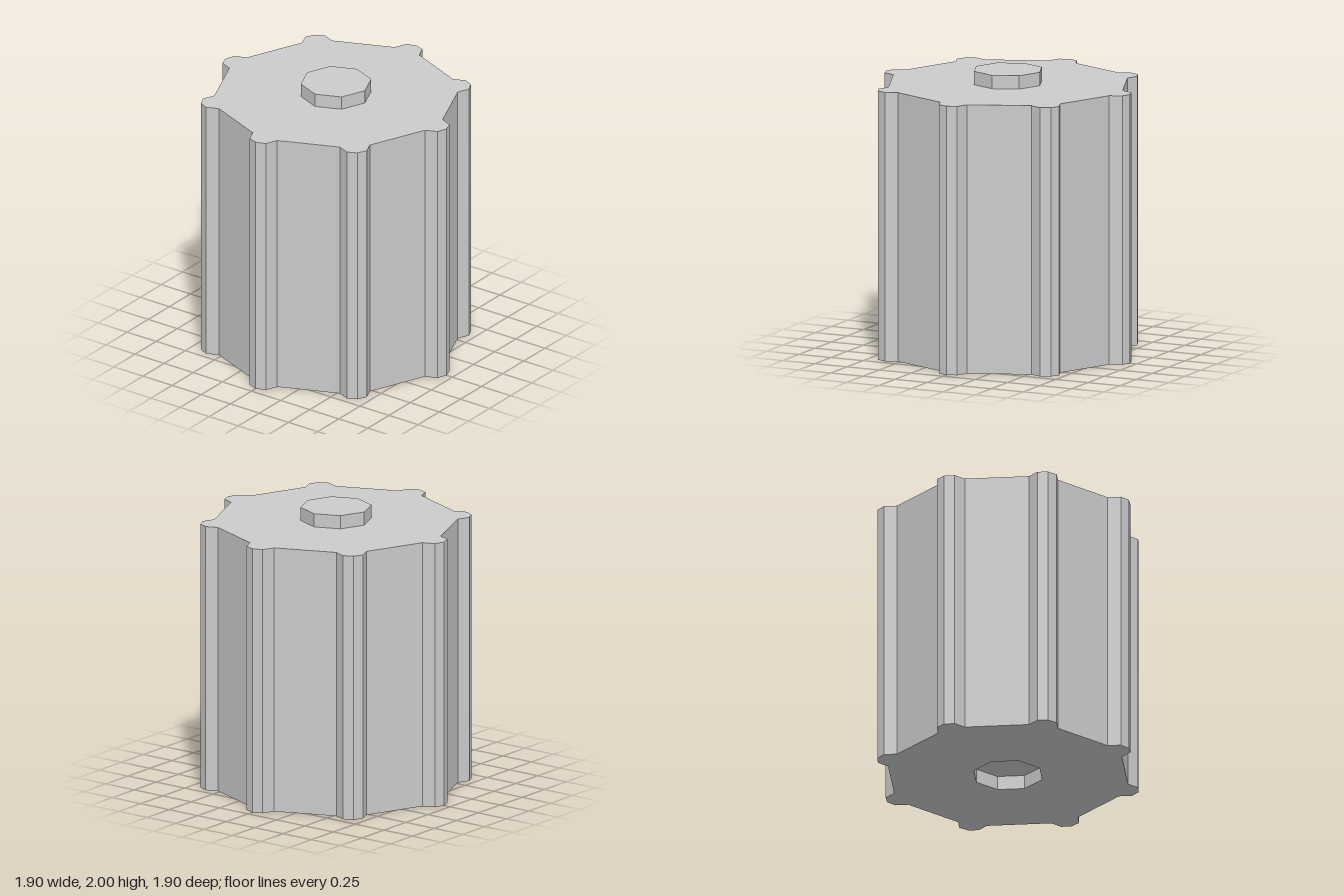
import * as THREE from 'three';
import { mergeGeometries } from 'three/addons/utils/BufferGeometryUtils.js';

const TOP = 1.905, STUD_TOP = 2, RECESS = 0.1, STUD_R = 0.248;

// Repeats a few [radial, sideways] points eight times around the axis
function ring(points) {
  const out = [];
  for (let i = 0; i < 8; i++) {
    const c = Math.cos(i * Math.PI / 4), s = Math.sin(i * Math.PI / 4);
    for (const [r, t] of points) out.push(new THREE.Vector2(r * c - t * s, r * s + t * c));
  }
  return out;
}

// Vertical wall along a closed ring; reversing the ring makes it face inward
function wall(pts, y0, y1) {
  const pos = [];
  pts.forEach((a, i) => {
    const b = pts[(i + 1) % pts.length];
    pos.push(b.x, y0, b.y, a.x, y0, a.y, a.x, y1, a.y);
    pos.push(b.x, y0, b.y, a.x, y1, a.y, b.x, y1, b.y);
  });
  const g = new THREE.BufferGeometry();
  g.setAttribute('position', new THREE.Float32BufferAttribute(pos, 3));
  g.computeVertexNormals();
  return g;
}

// Horizontal face, optionally with a hole, facing up or down
function cap(pts, y, up, hole) {
  const shape = new THREE.Shape(pts);
  if (hole) shape.holes.push(new THREE.Path(hole));
  const g = new THREE.ShapeGeometry(shape).toNonIndexed();
  g.rotateX(up ? -Math.PI / 2 : Math.PI / 2).translate(0, y, 0);
  g.deleteAttribute('uv');
  return g;
}

export function createModel() {
  const group = new THREE.Group();
  group.name = 'ribbedDrum';
  const material = new THREE.MeshStandardMaterial({ color: 0xcccccc, flatShading: true });
  const add = (name, parts) => {
    const mesh = new THREE.Mesh(mergeGeometries(parts), material);
    mesh.name = name;
    group.add(mesh);
  };

  const outline = ring([[0.84, -0.105], [0.925, -0.07], [0.95, 0], [0.925, 0.07], [0.84, 0.105]]);
  const octagon = ring([[STUD_R, 0]]);

  // Octagonal body with a rounded rib on each corner
  add('ribbedBody', [
    wall(outline, 0, TOP),
    cap(outline, TOP, true, octagon),
    cap(outline, 0, false, octagon),
  ]);

  // Raised stud on top
  add('topStud', [wall(octagon, TOP, STUD_TOP), cap(octagon, STUD_TOP, true)]);

  // Matching socket in the underside
  add('bottomSocket', [wall([...octagon].reverse(), 0, RECESS), cap(octagon, RECESS, false)]);

  return group;
}
